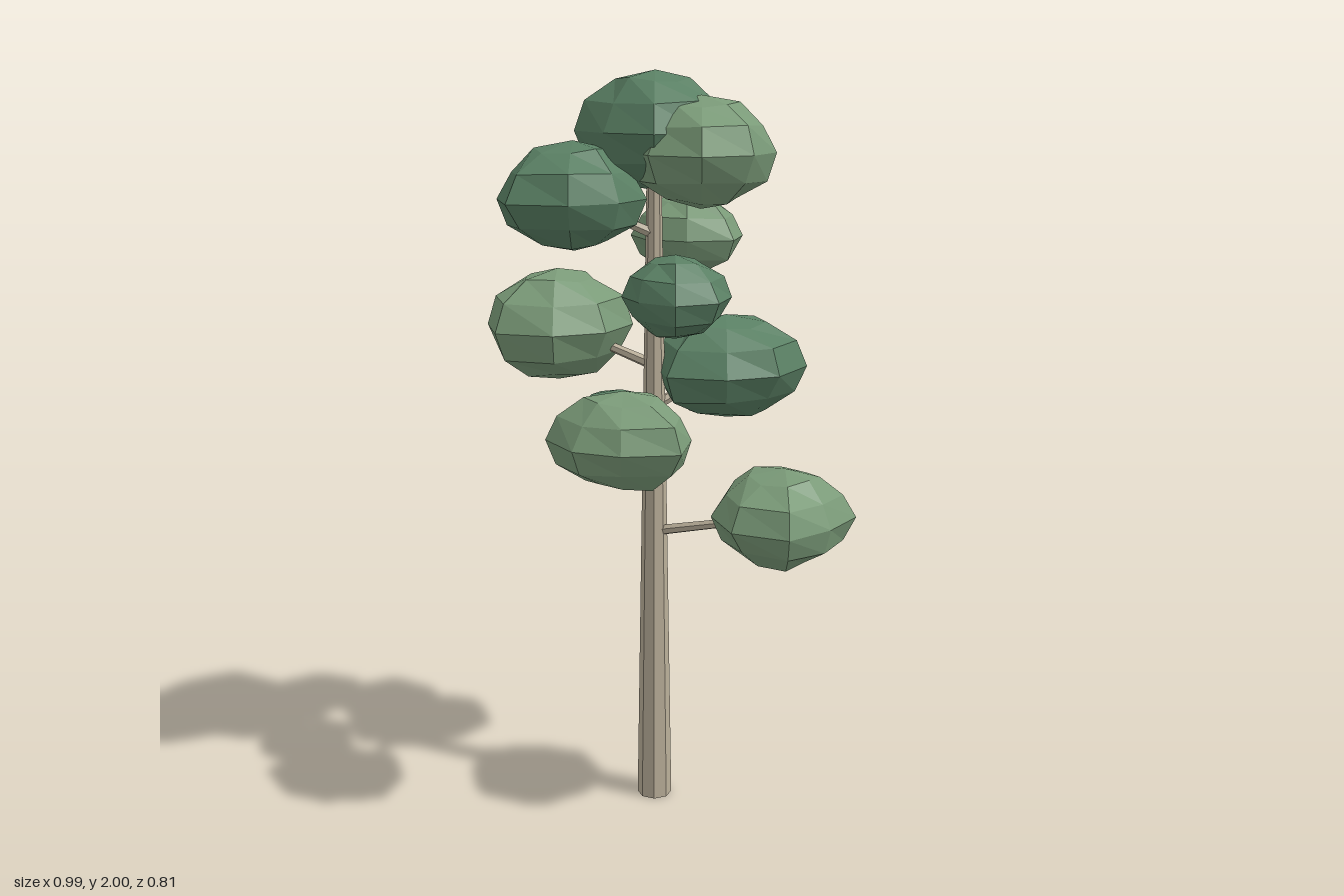
import * as THREE from 'three';

const material = (color) => new THREE.MeshStandardMaterial({ color, flatShading: true });
const bark = material(0xb9ae99);
const darkLeaf = material(0x5a8064);
const lightLeaf = material(0x7a9a78);

const TRUNK_X = -0.025, TRUNK_Z = -0.01;

// Foliage clumps from the lowest to the crown: centre, top and bottom heights,
// and the outline radii at the widest level (from -x round by +z, every 45 degrees)
const CLUMPS = [
  { at: [0.335, 0.88, -0.13], top: 1.01, bottom: 0.75, radii: [0.21, 0.19, 0.2, 0.2, 0.157, 0.187, 0.178, 0.165] },
  { at: [-0.28, 0.995, -0.125], top: 1.12, bottom: 0.875, radii: [0.175, 0.165, 0.155, 0.16, 0.175, 0.155, 0.165, 0.185] },
  { at: [0.113, 1.11, 0.23], top: 1.235, bottom: 0.985, radii: [0.16, 0.195, 0.17, 0.165, 0.205, 0.17, 0.19, 0.17] },
  { at: [0.063, 1.23, -0.19], top: 1.37, bottom: 1.09, radii: [0.2, 0.19, 0.22, 0.19, 0.195, 0.22, 0.22, 0.19] },
  { at: [-0.265, 1.34, 0.115], top: 1.49, bottom: 1.19, radii: [0.235, 0.19, 0.215, 0.19, 0.19, 0.2, 0.195, 0.205] },
  { at: [0.142, 1.455, 0.077], top: 1.56, bottom: 1.35, radii: [0.145, 0.135, 0.128, 0.15, 0.15, 0.14, 0.138, 0.14] },
  { at: [-0.068, 1.57, -0.173], top: 1.685, bottom: 1.465, radii: [0.143, 0.15, 0.15, 0.15, 0.173, 0.15, 0.162, 0.155] },
  { at: [-0.12, 1.685, 0.18], top: 1.83, bottom: 1.555, radii: [0.21, 0.195, 0.22, 0.19, 0.17, 0.185, 0.2, 0.19] },
  { at: [0.1, 1.8, -0.053], top: 1.94, bottom: 1.66, radii: [0.18, 0.18, 0.185, 0.2, 0.18, 0.19, 0.19, 0.175] },
  { at: [-0.025, 1.85, -0.015], top: 2.0, bottom: 1.7, radii: [0.186, 0.207, 0.178, 0.205, 0.173, 0.175, 0.205, 0.22] },
];

// Faceted sphere whose columns follow the outline radii, with slight variation by row
function clumpGeometry({ at, top, bottom, radii }, seed) {
  const cols = radii.length, rows = 6;
  const geometry = new THREE.SphereGeometry(1, cols, rows);
  const pos = geometry.attributes.position;
  for (let i = 0; i < pos.count; i++) {
    const row = Math.floor(i / (cols + 1));
    const col = (i % (cols + 1)) % cols;
    const inner = row > 0 && row < rows && row !== rows / 2;
    const bump = inner ? 0.97 + 0.05 * Math.sin(seed * 5.3 + row * 2.1 + col * 1.7) : 1;
    const y = pos.getY(i);
    pos.setXYZ(
      i,
      at[0] + pos.getX(i) * radii[col] * bump,
      at[1] + y * bump * (y > 0 ? top - at[1] : at[1] - bottom),
      at[2] + pos.getZ(i) * radii[col] * bump,
    );
  }
  geometry.computeVertexNormals();
  return geometry;
}

// Tapered limb between two points
function limb(name, from, to, r0, r1, sides) {
  const dir = to.clone().sub(from);
  const mesh = new THREE.Mesh(new THREE.CylinderGeometry(r1, r0, dir.length(), sides), bark);
  mesh.position.copy(from).add(to).multiplyScalar(0.5);
  mesh.quaternion.setFromUnitVectors(new THREE.Vector3(0, 1, 0), dir.normalize());
  mesh.name = name;
  return mesh;
}

export function createModel() {
  const tree = new THREE.Group();
  tree.name = 'tree';

  // Trunk
  const onTrunk = (y) => new THREE.Vector3(TRUNK_X, y, TRUNK_Z);
  tree.add(limb('trunk', onTrunk(0), onTrunk(1.82), 0.048, 0.018, 8));

  CLUMPS.forEach((clump, i) => {
    // Foliage, alternating light and dark
    const foliage = new THREE.Mesh(clumpGeometry(clump, i + 1), i % 2 ? darkLeaf : lightLeaf);
    foliage.name = `foliage${i + 1}`;
    tree.add(foliage);

    // Branch rising from the trunk into the clump; the crown sits on the trunk itself
    if (i === CLUMPS.length - 1) return;
    const centre = new THREE.Vector3(...clump.at);
    tree.add(limb(`branch${i + 1}`, onTrunk(centre.y - 0.095), centre, 0.015, 0.01, 6));
  });

  return tree;
}
